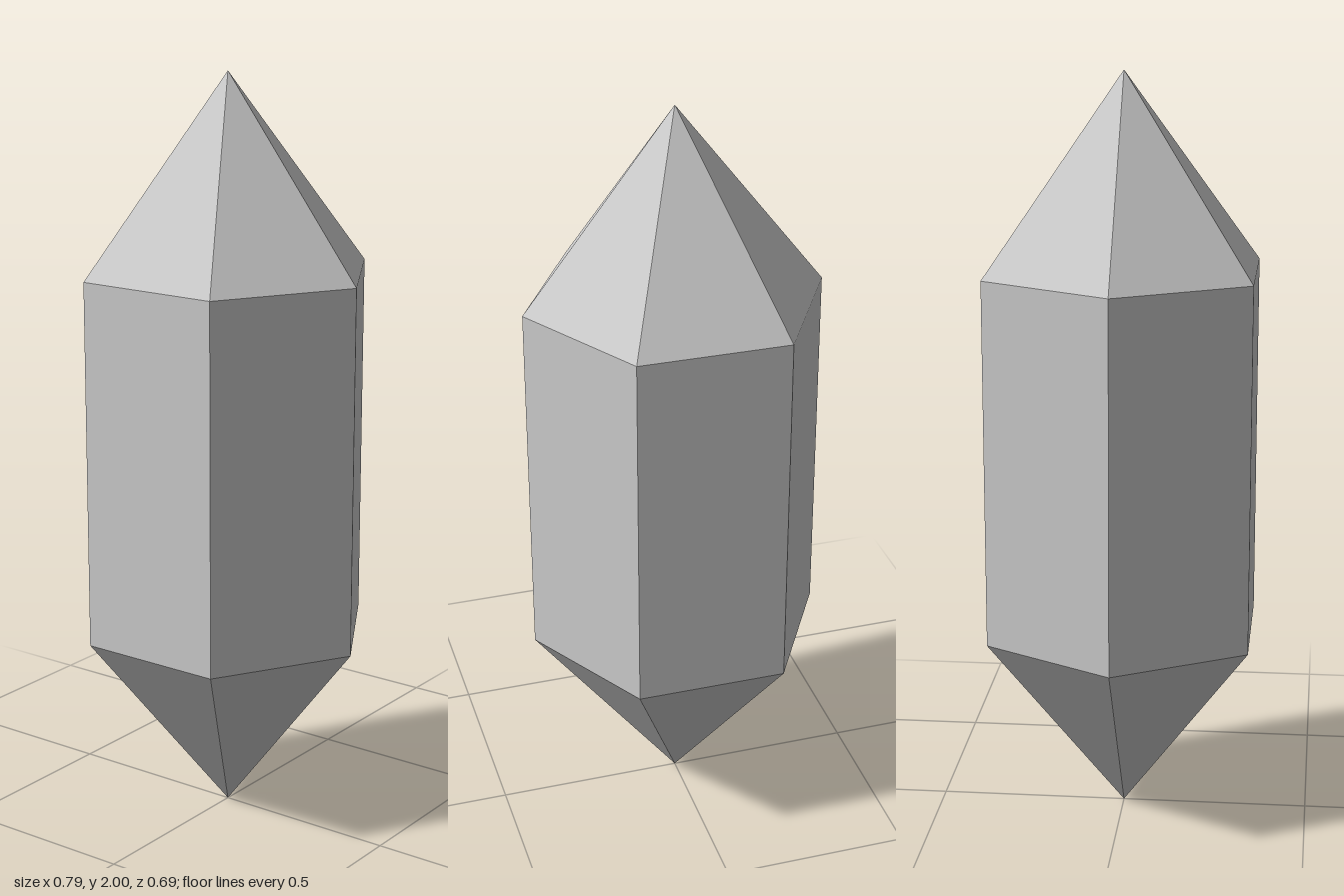
import * as THREE from 'three';

export function createModel() {
  const group = new THREE.Group();
  group.name = 'crystal';
  const material = new THREE.MeshStandardMaterial({ color: 0xcccccc, flatShading: true });

  const sides = 6, radius = 0.397, height = 2, tip = 0.512;

  // Half outline from the lower point to the upper point
  const profile = [
    [0, 0], [radius, tip], [radius, height - tip], [0, height],
  ].map(([x, y]) => new THREE.Vector2(x, y));

  // Six-sided prism with a pointed end above and below, corners on the x axis
  const geometry = new THREE.LatheGeometry(profile, sides, Math.PI / 2).toNonIndexed();
  geometry.computeVertexNormals();

  const body = new THREE.Mesh(geometry, material);
  body.name = 'crystalBody';
  group.add(body);
  return group;
}
